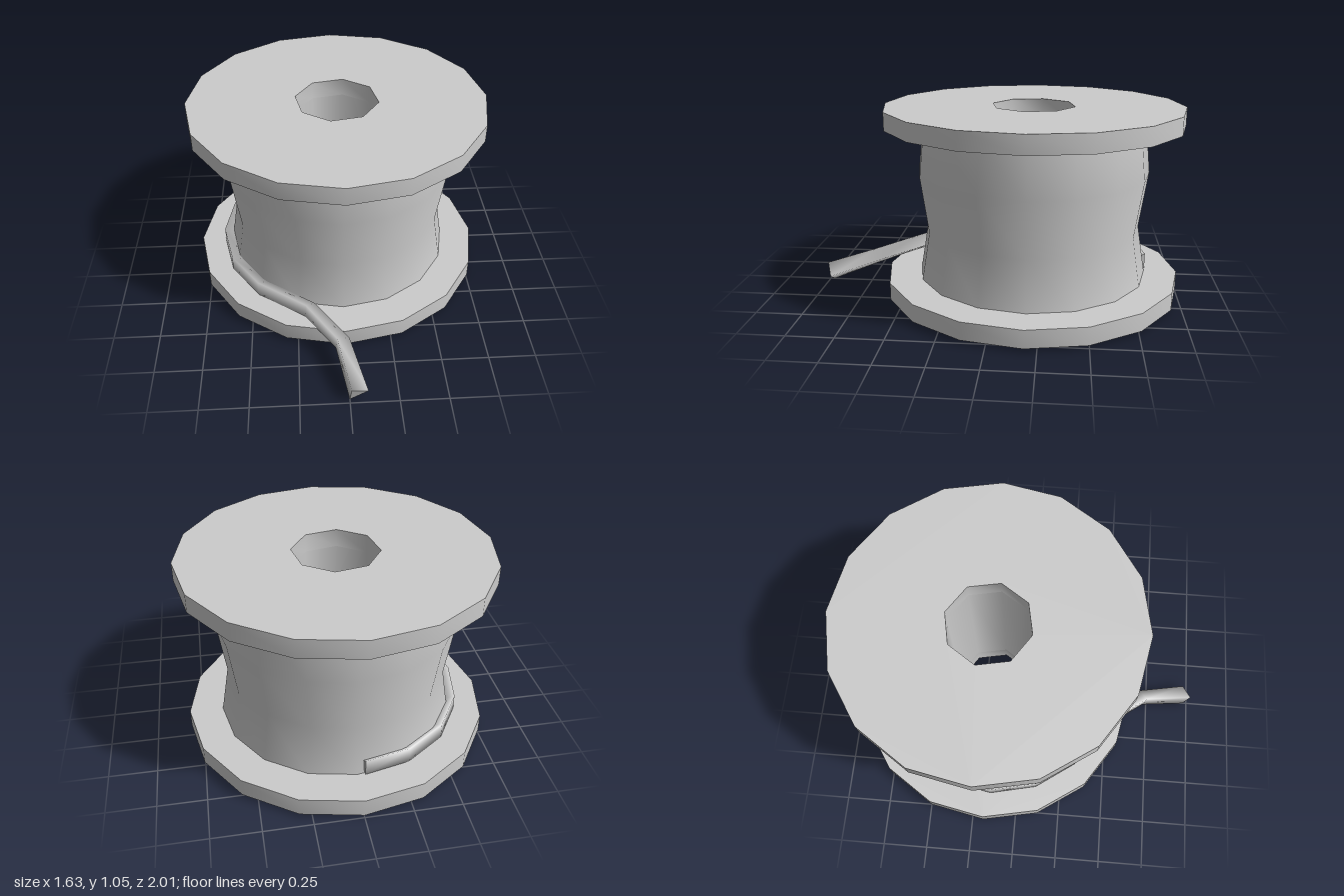
import * as THREE from 'three';
import { toCreasedNormals } from 'three/addons/utils/BufferGeometryUtils.js';

const CENTER_Z = -0.186;
const HOLE_R = 0.228;

// Points of a regular polygon
function polygon(radius, sides, start = 0) {
  return Array.from({ length: sides }, (_, i) => {
    const a = start + (i / sides) * Math.PI * 2;
    return new THREE.Vector2(radius * Math.cos(a), radius * Math.sin(a));
  });
}

// 16-sided disc with an 8-sided hole
function flangeGeometry(height) {
  const shape = new THREE.Shape(polygon(0.815, 16));
  shape.holes.push(new THREE.Path(polygon(HOLE_R, 8, -Math.PI / 16)));
  const geo = new THREE.ExtrudeGeometry(shape, { depth: height, bevelEnabled: false });
  geo.rotateX(-Math.PI / 2);
  return toCreasedNormals(geo, 0.9);
}

// Three-sided rope swept along a path, its point turned towards the drum
function ropeGeometry(points, radii) {
  const up = new THREE.Vector3(0, 1, 0);
  const rings = points.map((p, i) => {
    const before = points[Math.max(i - 1, 0)];
    const after = points[Math.min(i + 1, points.length - 1)];
    const t = after.clone().sub(before).normalize();
    const n = t.clone().cross(up).normalize();
    const u = t.clone().cross(n);
    return [0, 1, 2].map((j) => {
      const a = (j / 3) * Math.PI * 2;
      return p.clone()
        .addScaledVector(n, radii[i] * Math.cos(a))
        .addScaledVector(u, radii[i] * Math.sin(a));
    });
  });
  const last = rings.length - 1;
  const verts = [...rings.flat(), ...rings[0], ...rings[last]];
  const index = [];
  for (let i = 0; i < last; i++) {
    for (let j = 0; j < 3; j++) {
      const a = i * 3 + j;
      const b = i * 3 + ((j + 1) % 3);
      index.push(a, b, a + 3, b, b + 3, a + 3);
    }
  }
  // End caps
  const c = rings.length * 3;
  index.push(c, c + 2, c + 1, c + 3, c + 4, c + 5);
  const geo = new THREE.BufferGeometry().setFromPoints(verts);
  geo.setIndex(index);
  geo.computeVertexNormals();
  return geo;
}

export function createModel() {
  const group = new THREE.Group();
  group.name = 'spool';
  const material = new THREE.MeshStandardMaterial({ color: 0xcccccc });

  const add = (name, geometry, y, z, mat = material) => {
    const mesh = new THREE.Mesh(geometry, mat);
    mesh.name = name;
    mesh.position.set(0, y, z);
    group.add(mesh);
  };

  // End discs
  add('bottomFlange', flangeGeometry(0.097), 0.028, CENTER_Z);
  add('topFlange', flangeGeometry(0.097), 0.962, CENTER_Z);

  // Wound body with an uneven profile
  const profile = [[0.635, 0.12], [0.59, 0.39], [0.635, 0.7], [0.608, 0.965]];
  const drum = new THREE.LatheGeometry(profile.map(([r, y]) => new THREE.Vector2(r, y)), 16);
  add('drum', drum, 0, CENTER_Z);

  // Wall of the hole through the middle
  const boreMaterial = material.clone();
  boreMaterial.side = THREE.DoubleSide;
  const bore = new THREE.CylinderGeometry(HOLE_R, HOLE_R, 0.837, 8, 1, true, -Math.PI / 16);
  add('bore', bore, 0.5435, CENTER_Z, boreMaterial);

  // Loose end, then half a turn round the drum to the back
  const path = [
    new THREE.Vector3(0.033, 0.062, 0.985),
    new THREE.Vector3(-0.03, 0.145, 0.715),
    new THREE.Vector3(-0.19, 0.177, 0.5),
  ];
  for (let i = 0; i <= 6; i++) {
    const a = THREE.MathUtils.degToRad(42 + i * 22.5);
    const r = 0.665 - i * 0.008;
    path.push(new THREE.Vector3(-r * Math.sin(a), 0.169, CENTER_Z + r * Math.cos(a)));
  }
  const radii = path.map((_, i) => (i === 0 ? 0.062 : 0.051));
  add('rope', ropeGeometry(path, radii), 0, 0);

  return group;
}
